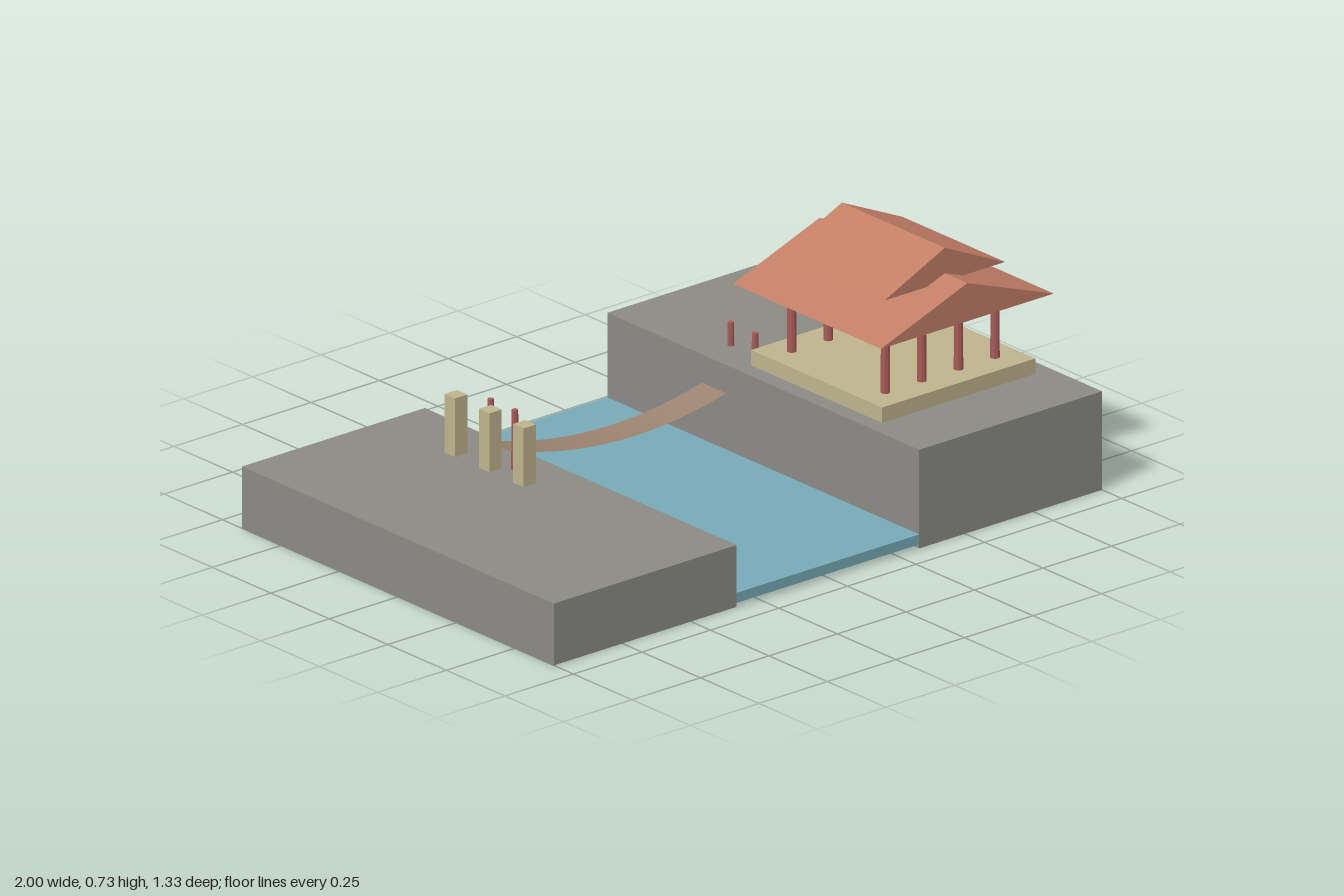
import * as THREE from 'three';

function material(name, color, options = {}) {
  return Object.assign(new THREE.MeshStandardMaterial({ color, ...options }), { name });
}

export function createModel() {
  const model = new THREE.Group();
  model.name = 'riverPavilion';

  const rock = material('rock grey', 0x8b8a85);
  const water = material('water blue', 0x76aab6);
  const stone = material('pale stone', 0xbfb48d);
  const tile = material('roof terracotta', 0xc27e65);
  const redWood = material('red wood', 0xa85b57, { flatShading: true });
  const plank = material('bridge brown', 0x9c8470, { side: THREE.DoubleSide });

  function add(name, geometry, mat, x, y, z, parent = model) {
    const mesh = new THREE.Mesh(geometry, mat);
    mesh.name = name;
    mesh.position.set(x, y, z);
    parent.add(mesh);
    return mesh;
  }
  // Box standing on height y
  const block = (name, mat, w, h, d, x, y, z, parent) =>
    add(name, new THREE.BoxGeometry(w, h, d), mat, x, y + h / 2, z, parent);
  // Round post standing on height y
  const post = (name, rTop, rBottom, h, x, y, z, parent) =>
    add(name, new THREE.CylinderGeometry(rTop, rBottom, h, 8), redWood, x, y + h / 2, z, parent);

  // River banks and the water between them
  block('lowBank', rock, 0.667, 0.185, 1.333, -0.6665, 0, 0);
  block('highBank', rock, 0.667, 0.295, 1.333, 0.6665, 0, 0);
  block('river', water, 0.666, 0.03, 1.333, 0, 0.012, 0);

  // Pavilion: terrace, two rows of columns, two stacked gable roofs
  const pavilion = new THREE.Group();
  pavilion.name = 'pavilion';
  pavilion.position.set(0.664, 0, 0.168);
  model.add(pavilion);
  block('terrace', stone, 0.56, 0.047, 0.56, 0, 0.294, 0, pavilion);
  for (const z of [-0.2, 0.2]) {
    for (const x of [-0.2, -0.067, 0.067, 0.2]) {
      post('column', 0.012, 0.0135, 0.205, x, 0.34, z, pavilion);
    }
  }
  function gableRoof(name, width, height, depth, y) {
    const gable = new THREE.Shape();
    gable.moveTo(-width / 2, 0);
    gable.lineTo(width / 2, 0);
    gable.lineTo(0, height);
    gable.closePath();
    const geometry = new THREE.ExtrudeGeometry(gable, { depth, bevelEnabled: false });
    add(name, geometry.translate(0, 0, -depth / 2), tile, 0, y, 0, pavilion);
  }
  gableRoof('lowerRoof', 0.63, 0.114, 0.633, 0.537);
  gableRoof('upperRoof', 0.44, 0.1, 0.44, 0.627);

  // Sagging plank bridge and its end posts
  const deck = new THREE.PlaneGeometry(0.92, 0.104, 16, 1).rotateX(-Math.PI / 2);
  const p = deck.attributes.position;
  for (let i = 0; i < p.count; i++) p.setY(i, 0.36 * p.getX(i) ** 2);
  deck.computeVertexNormals();
  add('bridgeDeck', deck, plank, 0, 0.17, -0.211);
  for (const x of [-0.438, 0.438]) {
    for (const z of [-0.262, -0.158]) post('bridgePost', 0.009, 0.011, 0.185, x, 0.18, z);
  }

  // Standing stones on the low bank
  for (const z of [-0.357, -0.211, -0.065]) {
    block('standingStone', stone, 0.045, 0.177, 0.045, -0.483, 0.184, z);
  }

  return model;
}
